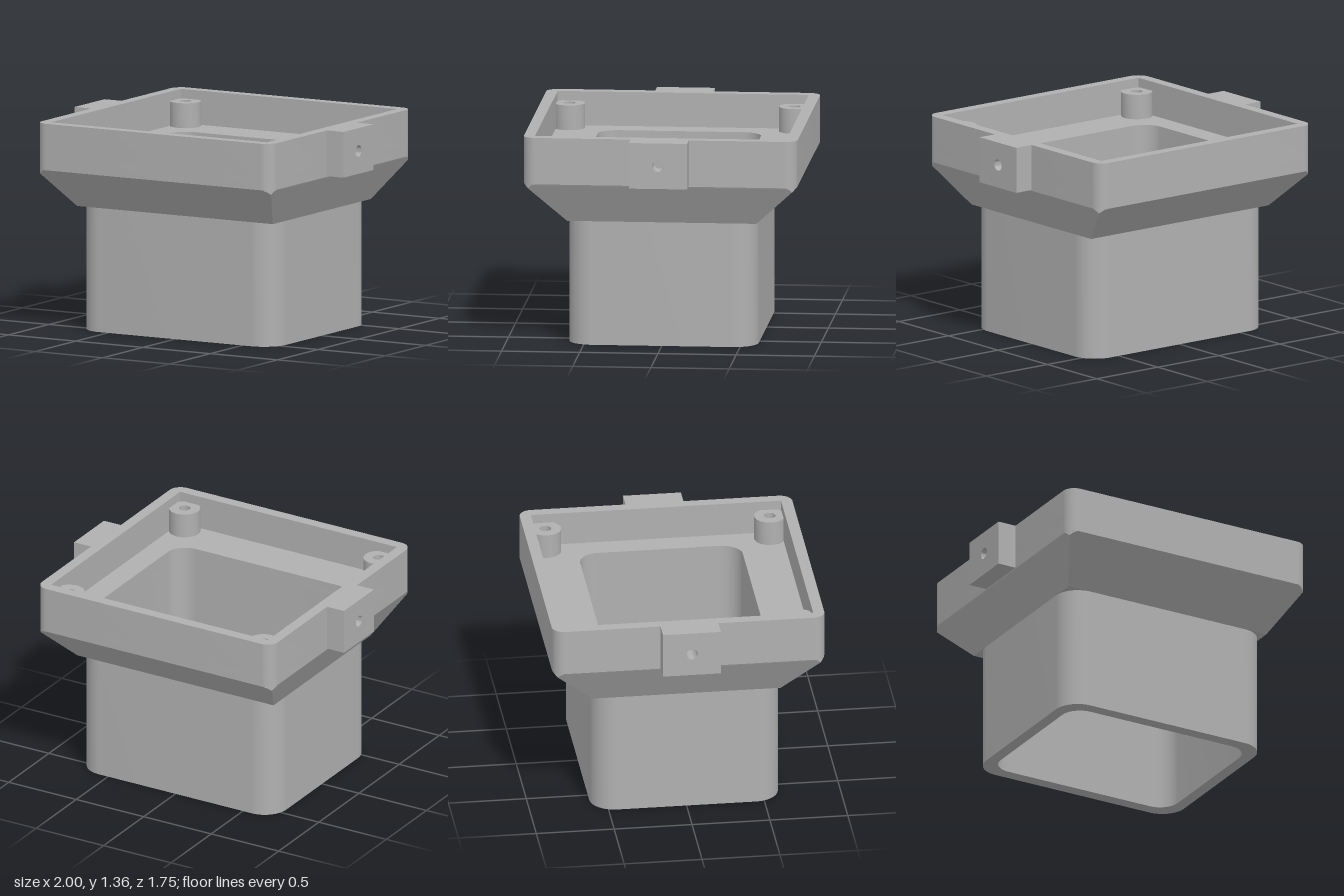
import * as THREE from 'three';
import { toCreasedNormals } from 'three/addons/utils/BufferGeometryUtils.js';

const R = 0.08;       // tray corner radius
const HALF = 0.875;   // tray half width
const NECK_X = 0.727, NECK_Z = 0.605;
const NECK_TOP = 0.8, TRAY_BOTTOM = 1.06, FLOOR = 1.14, TOP = 1.36;

// Rounded (or square, r = 0) rectangle outline, hx and hy are half sizes
function outline(Type, hx, hy, r) {
  const s = new Type();
  if (r === 0) {
    s.moveTo(-hx, -hy);
    s.lineTo(hx, -hy);
    s.lineTo(hx, hy);
    s.lineTo(-hx, hy);
  } else {
    s.absarc(hx - r, hy - r, r, 0, Math.PI / 2);
    s.absarc(-hx + r, hy - r, r, Math.PI / 2, Math.PI);
    s.absarc(-hx + r, -hy + r, r, Math.PI, Math.PI * 1.5);
    s.absarc(hx - r, -hy + r, r, Math.PI * 1.5, Math.PI * 2);
  }
  s.closePath();
  return s;
}

function circle(Type, x, y, r) {
  return new Type().absarc(x, y, r, 0, Math.PI * 2);
}

function withHole(shape, hole) {
  shape.holes.push(hole);
  return shape;
}

// Extrude a flat outline with smooth curves and sharp edges
function prism(shape, depth) {
  const g = new THREE.ExtrudeGeometry(shape, { depth, bevelEnabled: false, curveSegments: 14 });
  return toCreasedNormals(g, 0.5);
}

function upright(shape, y0, y1) {
  return prism(shape, y1 - y0).rotateX(-Math.PI / 2).translate(0, y0, 0);
}

// Taper cross-section: a sharp rectangle trimmed by the rounded tray corners
function taperRing(t, n) {
  const hx = THREE.MathUtils.lerp(NECK_X, HALF, t);
  const hz = THREE.MathUtils.lerp(NECK_Z, HALF, t);
  const c = HALF - R;
  const a0 = Math.acos(THREE.MathUtils.clamp((hx - c) / R, -1, 1));
  const a1 = Math.asin(THREE.MathUtils.clamp((hz - c) / R, -1, 1));
  const corner = [];
  for (let i = 0; i <= n; i++) {
    const a = THREE.MathUtils.lerp(a0, a1, i / n);
    corner.push(a0 < a1 ? [c + R * Math.cos(a), c + R * Math.sin(a)] : [hx, hz]);
  }
  const ring = [];
  [[1, 1], [-1, 1], [-1, -1], [1, -1]].forEach(([sx, sz], k) => {
    const pts = k % 2 ? [...corner].reverse() : corner;
    pts.forEach(([x, z]) => ring.push([x * sx, z * sz]));
  });
  return ring;
}

function taperGeometry() {
  const levels = [0, 0.886, 0.91, 0.935, 0.96, 0.98, 1];
  const n = 10, count = 4 * (n + 1);
  const pos = [], index = [];
  levels.forEach((t, j) => {
    const y = THREE.MathUtils.lerp(NECK_TOP, TRAY_BOTTOM, t);
    taperRing(t, n).forEach(([x, z]) => pos.push(x, y, z));
    if (j === 0) return;
    for (let i = 0; i < count; i++) {
      const k = (i + 1) % count;
      const lo = (j - 1) * count, up = j * count;
      index.push(lo + i, up + i, lo + k, lo + k, up + i, up + k);
    }
  });
  const g = new THREE.BufferGeometry();
  g.setAttribute('position', new THREE.Float32BufferAttribute(pos, 3));
  g.setIndex(index);
  return toCreasedNormals(g, 0.4);
}

export function createModel() {
  const group = new THREE.Group();
  const grey = new THREE.MeshStandardMaterial({ color: 0xb0b0b0 });
  grey.name = 'grey';

  const add = (name, geometry) => {
    const mesh = new THREE.Mesh(geometry, grey);
    mesh.name = name;
    group.add(mesh);
    return mesh;
  };
  const bore = () => outline(THREE.Path, 0.65, 0.522, 0.13);

  // Rectangular neck tube, running up inside the taper
  add('neck', upright(withHole(outline(THREE.Shape, NECK_X, NECK_Z, 0.16), bore()), 0, TRAY_BOTTOM));

  // Taper between neck and tray, with the small ledge at its sharp lower corners
  add('taper', taperGeometry());
  const ledge = withHole(outline(THREE.Shape, NECK_X, NECK_Z, 0),
    outline(THREE.Path, NECK_X, NECK_Z, 0.16));
  add('taperLedge', new THREE.ShapeGeometry(ledge, 14).rotateX(Math.PI / 2).translate(0, NECK_TOP, 0));

  // Square tray: floor with the bore, then the wall
  add('trayFloor', upright(withHole(outline(THREE.Shape, HALF, HALF, R), bore()), TRAY_BOTTOM, FLOOR));
  add('trayWall', upright(
    withHole(outline(THREE.Shape, HALF, HALF, R), outline(THREE.Path, 0.803, 0.803, 0)), FLOOR, TOP));

  // Screw bosses in the four corners
  const boss = withHole(circle(THREE.Shape, 0, 0, 0.1), circle(THREE.Path, 0, 0, 0.037));
  const bossGeometry = upright(boss, FLOOR, 1.3);
  for (const x of [-0.72, 0.72]) {
    for (const z of [-0.72, 0.72]) {
      add('screwBoss', bossGeometry).position.set(x, 0, z);
    }
  }

  // Side lugs with blind holes; the tray wall closes the inner end
  const lug = withHole(outline(THREE.Shape, 0.186, (TOP - 1.065) / 2, 0), circle(THREE.Path, 0, 0, 0.037));
  const lugGeometry = prism(lug, 1 - HALF).translate(0, 0, HALF);
  for (const side of [-1, 1]) {
    const mesh = add(side > 0 ? 'leftLug' : 'rightLug', lugGeometry);
    mesh.rotation.y = side * Math.PI / 2;
    mesh.position.y = (TOP + 1.065) / 2;
  }

  return group;
}
